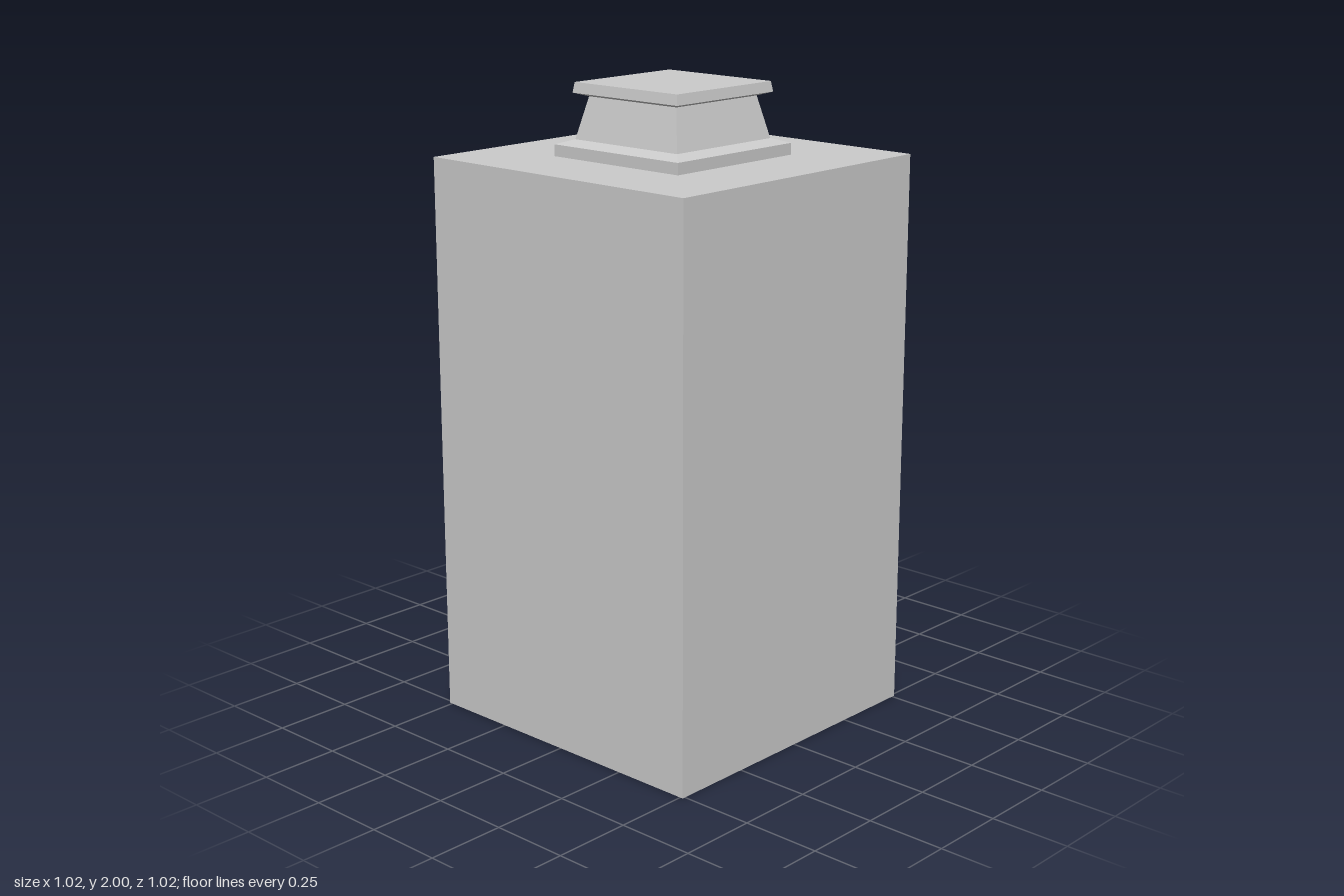
import * as THREE from 'three';

const HALF = 0.51, HEIGHT = 1.777, WALL = 0.038;

const material = new THREE.MeshStandardMaterial({ color: 0xcccccc, flatShading: true });

function part(name, geometry, parent) {
  const mesh = new THREE.Mesh(geometry, material);
  mesh.name = name;
  parent.add(mesh);
  return mesh;
}

// Square turned solid: profile rows are [half width, y], bottom to top
function squareLathe(profile) {
  const points = profile.map(([w, y]) => new THREE.Vector2(w * Math.SQRT2, y));
  const geometry = new THREE.LatheGeometry(points, 4, Math.PI / 4).toNonIndexed();
  geometry.computeVertexNormals();
  return geometry;
}

// Rectangle outline centred on the first axis
function rectangle(path, half, bottom, top) {
  path.moveTo(-half, bottom);
  path.lineTo(half, bottom);
  path.lineTo(half, top);
  path.lineTo(-half, top);
  path.closePath();
  return path;
}

export function createModel() {
  const model = new THREE.Group();
  model.name = 'openCabinet';

  // Hollow housing, open on its left (+x) side
  const housing = new THREE.Group();
  housing.name = 'housing';
  model.add(housing);

  const outline = rectangle(new THREE.Shape(), HALF, 0, HEIGHT);
  outline.holes.push(rectangle(new THREE.Path(), HALF - WALL, WALL, HEIGHT - WALL));
  const walls = new THREE.ExtrudeGeometry(outline, { depth: 2 * HALF, bevelEnabled: false });
  walls.rotateY(Math.PI / 2).translate(-HALF, 0, 0);
  part('walls', walls, housing);

  // Panel closing the side opposite the opening
  const panel = new THREE.BoxGeometry(WALL, HEIGHT - 2 * WALL, 2 * (HALF - WALL));
  part('closingPanel', panel, housing).position.set(-HALF + WALL / 2, HEIGHT / 2, 0);

  // Square finial on the roof: plinth, tapered neck and cap
  const finial = new THREE.Group();
  finial.name = 'finial';
  model.add(finial);

  part('plinth', squareLathe([
    [0.253, HEIGHT], [0.253, 1.813], [0.208, 1.828], [0, 1.828],
  ]), finial);
  part('neck', squareLathe([[0.208, 1.828], [0.178, 1.957]]), finial);
  part('cap', squareLathe([
    [0, 1.957], [0.178, 1.957], [0.213, 1.968], [0.208, 2], [0, 2],
  ]), finial);

  return model;
}
